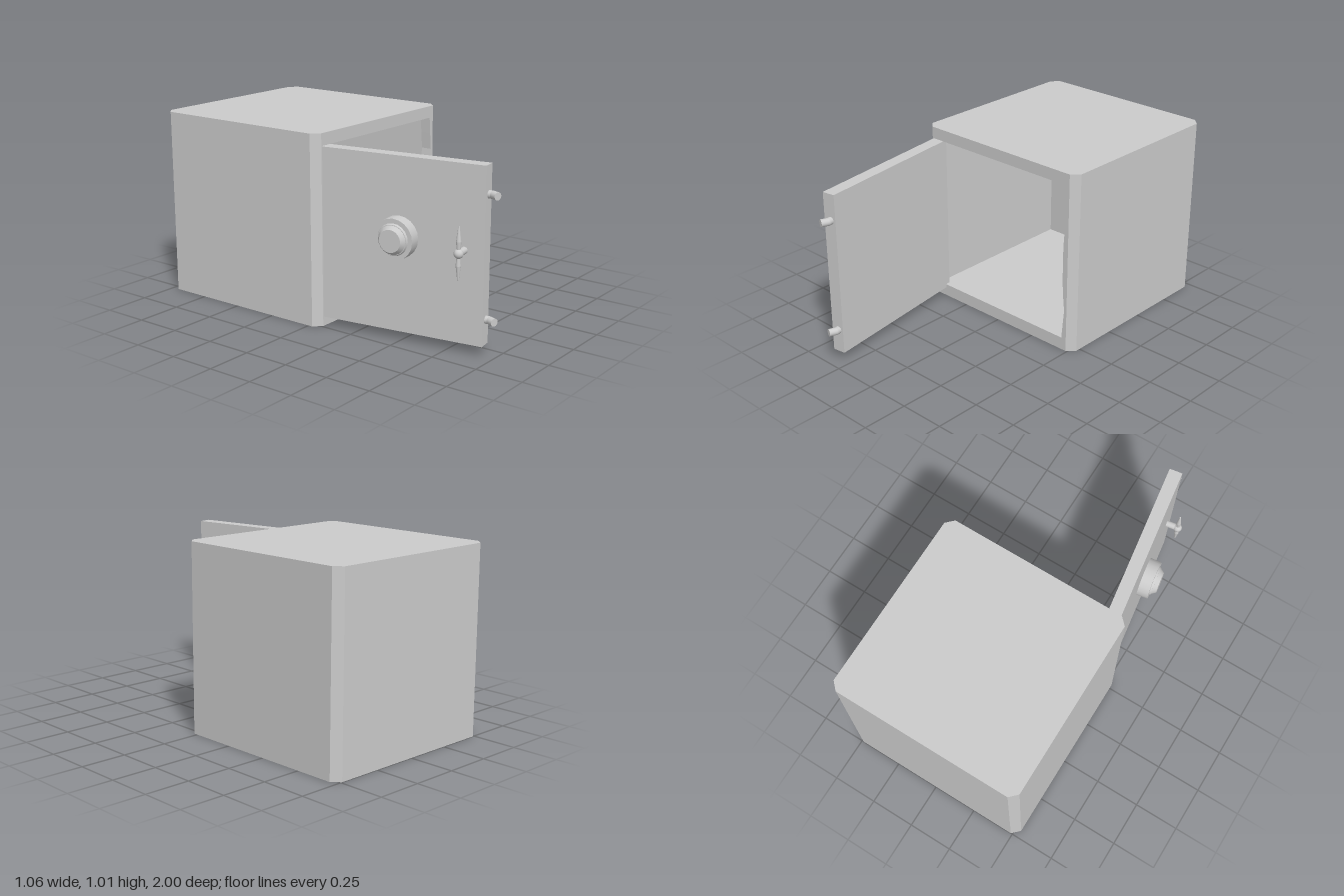
import * as THREE from 'three';

const material = new THREE.MeshStandardMaterial({ color: 0xcccccc });

function add(parent, name, geometry, x = 0, y = 0, z = 0) {
  const mesh = new THREE.Mesh(geometry, material);
  mesh.name = name;
  mesh.position.set(x, y, z);
  parent.add(mesh);
  return mesh;
}

const toPoints = (list) => list.map(([x, y]) => new THREE.Vector2(x, y));

// Extrudes a plan outline, given as (x, -z), upwards
function planSlab(outline, height) {
  const shape = new THREE.Shape(toPoints(outline));
  return new THREE.ExtrudeGeometry(shape, { depth: height, bevelEnabled: false }).rotateX(-Math.PI / 2);
}

// Closed round rod between two points
function rod(parent, name, from, to, r0, r1 = r0) {
  const a = new THREE.Vector3(...from), b = new THREE.Vector3(...to);
  const dir = b.clone().sub(a);
  const mesh = add(parent, name, new THREE.CylinderGeometry(r1, r0, dir.length(), 20));
  mesh.position.copy(a).add(b).multiplyScalar(0.5);
  mesh.quaternion.setFromUnitVectors(new THREE.Vector3(0, 1, 0), dir.normalize());
  return mesh;
}

const W = 0.532, C = 0.491;          // outer half width, start of the corner chamfer
const FRONT = 0.065, BACK = -1;
const INNER = 0.487;                 // half width of the inside
const FLOOR = 0.05, CEILING = 0.965, HEIGHT = 1.015;

function createCabinet() {
  const cabinet = new THREE.Group();
  cabinet.name = 'cabinet';
  const k = W - C;

  // Chamfered floor and ceiling slabs
  const octagon = [
    [-C, -FRONT], [C, -FRONT], [W, -FRONT + k], [W, -BACK - k],
    [C, -BACK], [-C, -BACK], [-W, -BACK - k], [-W, -FRONT + k],
  ];
  add(cabinet, 'floor', planSlab(octagon, FLOOR));
  add(cabinet, 'ceiling', planSlab(octagon, HEIGHT - CEILING), 0, CEILING);

  // Side and back walls, open at the front
  const walls = [
    [INNER, -FRONT], ...octagon.slice(1), octagon[0],
    [-INNER, -FRONT], [-INNER, 0.93], [INNER, 0.93],
  ];
  add(cabinet, 'walls', planSlab(walls, CEILING - FLOOR), 0, FLOOR);

  // Front frame with bolt recesses along one side of the opening
  const frame = new THREE.Shape(toPoints([
    [-INNER, FLOOR], [INNER, FLOOR], [INNER, CEILING], [-INNER, CEILING],
  ]));
  frame.holes.push(new THREE.Path(toPoints([
    [-0.48, 0.07], [-0.48, 0.95], [0.46, 0.95], [0.467, 0.86], [0.475, 0.77],
    [0.465, 0.68], [0.46, 0.6], [0.46, 0.41], [0.465, 0.33], [0.475, 0.235],
    [0.467, 0.15], [0.46, 0.07],
  ])));
  const depth = 0.06;
  add(cabinet, 'doorFrame', new THREE.ExtrudeGeometry(frame, { depth, bevelEnabled: false }), 0, 0, FRONT - depth);
  return cabinet;
}

// Door space: z runs from hinge to free edge, the outer face looks to -x
function createDoor() {
  const door = new THREE.Group();
  door.name = 'door';
  door.position.set(-0.485, 0, FRONT);
  door.rotation.y = 0.148;

  const start = -0.02, end = 0.885, thick = 0.071;
  add(door, 'doorPanel', new THREE.BoxGeometry(thick, 0.898, end - start), thick / 2, 0.499, (start + end) / 2);

  // Combination dial: ribbed base, collar and tapered knob
  const zDial = 0.43, yDial = 0.542;
  const disc = (name, from, to, r0, r1) =>
    rod(door, name, [-from, yDial, zDial], [-to, yDial, zDial], r0, r1);
  disc('dialBase', -0.005, 0.062, 0.108, 0.106);
  disc('dialCollar', 0.06, 0.072, 0.084, 0.078);
  disc('dialKnob', 0.07, 0.095, 0.076, 0.058);

  // Handle: stem, ball and two tapered grips
  const zGrip = 0.782, yGrip = 0.524, xGrip = -0.065;
  rod(door, 'handleStem', [0.005, yGrip, zGrip], [xGrip, yGrip, zGrip], 0.018);
  add(door, 'handleBall', new THREE.SphereGeometry(0.024, 20, 14), xGrip, yGrip, zGrip);
  for (const s of [-1, 1]) {
    rod(door, 'handleGrip', [xGrip, yGrip, zGrip], [xGrip, yGrip + s * 0.06, zGrip], 0.008, 0.013);
    rod(door, 'handleGripTip', [xGrip, yGrip + s * 0.06, zGrip], [xGrip, yGrip + s * 0.133, zGrip], 0.013, 0.004);
  }

  // Bent locking bolts at the free edge
  for (const y of [0.179, 0.803]) {
    const bend = [0.04, y, 0.903];
    rod(door, 'boltBase', [0.04, y, 0.87], bend, 0.02);
    add(door, 'boltBend', new THREE.SphereGeometry(0.02, 20, 12), ...bend);
    rod(door, 'boltTip', bend, [0.021, y, 0.938], 0.02);
  }
  return door;
}

export function createModel() {
  const model = new THREE.Group();
  model.name = 'safe';
  model.add(createCabinet(), createDoor());
  return model;
}
